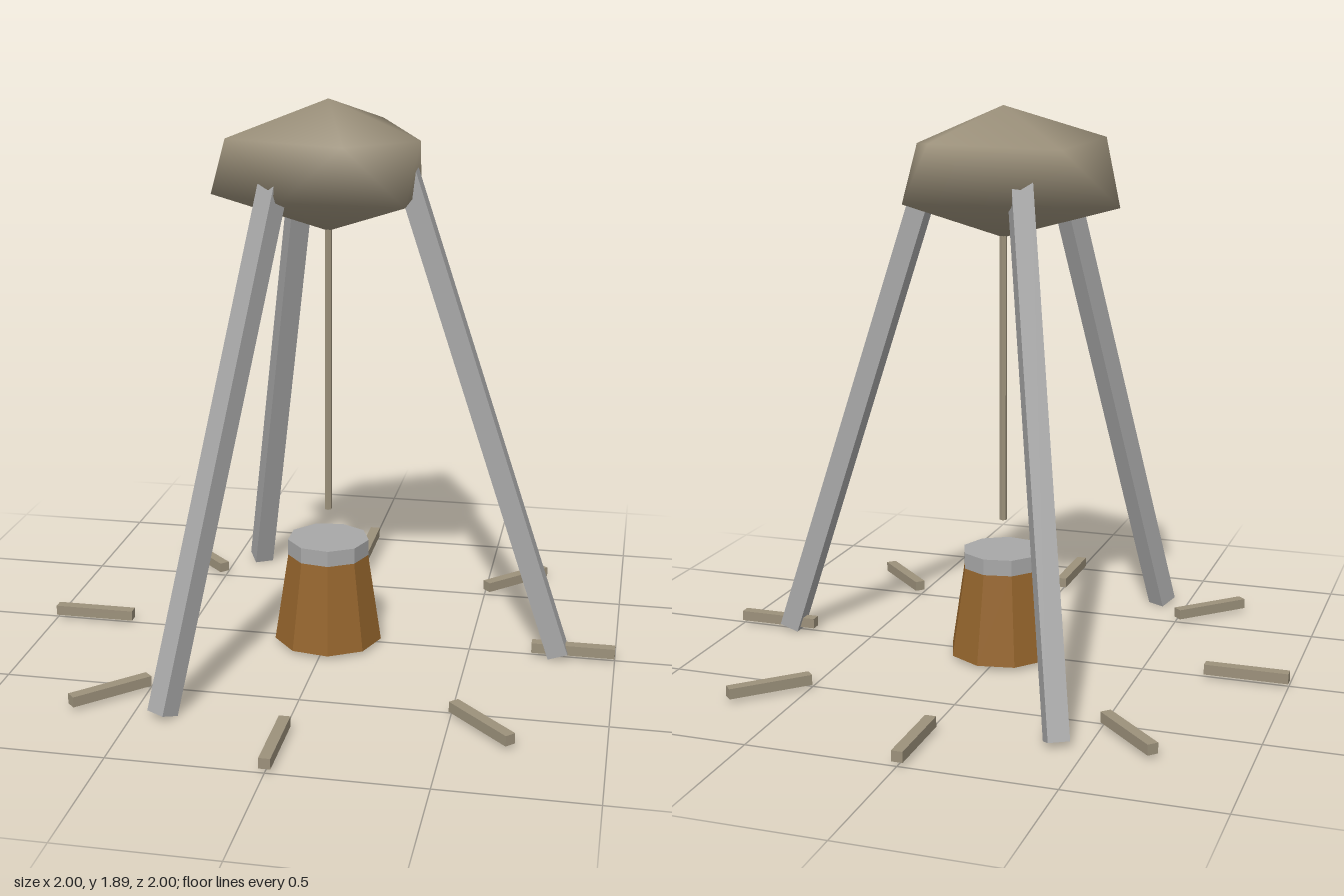
import * as THREE from 'three';

const makeMaterial = (name, color) => {
  const m = new THREE.MeshStandardMaterial({ color });
  m.name = name;
  return m;
};

// Cylinder with hard facets between its sides
function facetedCylinder(rTop, rBottom, height, sides, start = 0) {
  const g = new THREE.CylinderGeometry(rTop, rBottom, height, sides, 1, false, start).toNonIndexed();
  g.computeVertexNormals();
  return g;
}

// Irregular boulder: two staggered rings of five points between two poles
function boulderGeometry() {
  const top = [0, 1.9, 0];
  const bottom = [0, 1.465, 0];
  const upper = [[0.305, 1.77, 0], [0.115, 1.79, 0.35], [-0.295, 1.79, 0.21], [-0.255, 1.77, -0.185], [0.12, 1.795, -0.385]];
  const lower = [[0.287, 1.585, 0.21], [-0.1, 1.6, 0.29], [-0.4, 1.575, 0], [-0.1, 1.6, -0.3], [0.28, 1.585, -0.205]];
  const points = [top, ...upper, ...lower, bottom];
  const index = [];
  for (let i = 0; i < 5; i++) {
    const j = (i + 1) % 5;
    const u0 = 1 + i, u1 = 1 + j, l0 = 6 + i, l1 = 6 + j;
    index.push(0, u1, u0, u0, u1, l0, l0, u1, l1, l0, l1, 11);
  }
  const g = new THREE.BufferGeometry();
  g.setAttribute('position', new THREE.Float32BufferAttribute(points.flat(), 3));
  g.setIndex(index);
  g.computeVertexNormals();
  return g;
}

export function createModel() {
  const model = new THREE.Group();
  model.name = 'tripodWell';
  const stone = makeMaterial('stone', 0x9c917b);
  const metal = makeMaterial('metal', 0xa8a8a8);
  const wood = makeMaterial('wood', 0x94642c);

  const add = (name, geometry, material, y = 0, parent = model) => {
    const mesh = new THREE.Mesh(geometry, material);
    mesh.name = name;
    mesh.position.y = y;
    parent.add(mesh);
    return mesh;
  };

  // Boulder on top and the rope below it
  add('boulder', boulderGeometry(), stone);
  add('rope', facetedCylinder(0.0125, 0.0125, 1.01, 6), stone, 0.995);

  // Three leaning legs
  const foot = new THREE.Vector2(0.807, 0.017);
  const head = new THREE.Vector2(0.234, 1.748);
  const legGeometry = new THREE.BoxGeometry(0.07, foot.distanceTo(head), 0.07);
  for (let i = 0; i < 3; i++) {
    const pivot = new THREE.Group();
    pivot.name = 'leg' + (i + 1);
    pivot.rotation.y = (i * Math.PI * 2) / 3;
    const leg = add('legBeam', legGeometry, metal, (foot.y + head.y) / 2, pivot);
    leg.position.x = (foot.x + head.x) / 2;
    leg.rotation.z = Math.atan2(foot.x - head.x, head.y - foot.y);
    model.add(pivot);
  }

  // Nine-sided bucket with a lid
  const start = Math.PI / 18;
  add('bucket', facetedCylinder(0.14, 0.188, 0.315, 9, start), wood, 0.1775);
  add('bucketLid', facetedCylinder(0.142, 0.142, 0.055, 9, start), metal, 0.3575);

  // Ring of eight short bars on the ground
  const barGeometry = new THREE.BoxGeometry(0.284, 0.035, 0.037);
  for (let i = 0; i < 8; i++) {
    const angle = (i * Math.PI) / 4;
    const bar = add('groundBar' + (i + 1), barGeometry, stone, 0.037);
    bar.position.x = Math.cos(angle) * 0.858;
    bar.position.z = -Math.sin(angle) * 0.858;
    bar.rotation.y = angle;
  }

  return model;
}
